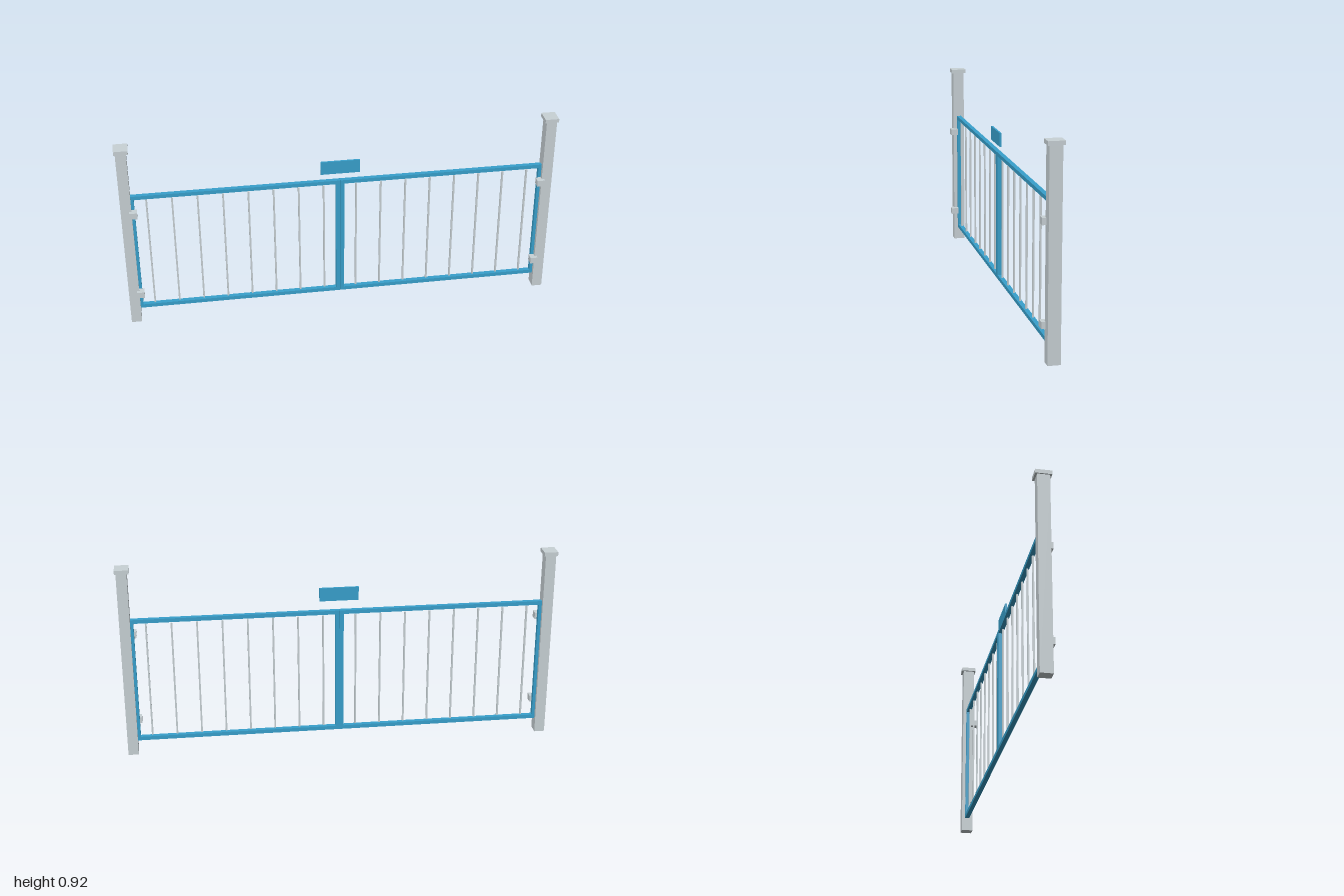
import * as THREE from 'three';

export function createModel() {
  const model = new THREE.Group();
  model.name = 'doubleGate';

  const material = (name, color) => {
    const m = new THREE.MeshStandardMaterial({ color });
    m.name = name;
    return m;
  };
  const steelGrey = material('steel grey', 0xc9d2d6);
  const gateBlue = material('gate blue', 0x38a1cd);

  // Adds a box given its extents along each axis
  function box(parent, name, mat, [x0, x1], [y0, y1], [z0, z1]) {
    const mesh = new THREE.Mesh(new THREE.BoxGeometry(x1 - x0, y1 - y0, z1 - z0), mat);
    mesh.position.set((x0 + x1) / 2, (y0 + y1) / 2, (z0 + z1) / 2);
    mesh.name = name;
    parent.add(mesh);
  }

  const frameZ = [-0.015, 0.006];
  const bottom = 0.065, top = 0.67, rail = 0.018;

  for (const side of [1, -1]) {
    const label = side > 0 ? 'left' : 'right';
    // Mirrors an x range onto this side
    const span = (a, b) => (side > 0 ? [a, b] : [-b, -a]);

    // Post with slab cap
    const post = new THREE.Group();
    post.name = label + 'Post';
    box(post, 'postShaft', steelGrey, span(0.946, 0.994), [0, 0.898], [-0.031, 0.024]);
    box(post, 'postCap', steelGrey, span(0.937, 1), [0.898, 0.916], [-0.04, 0.032]);

    // Hinge blocks
    for (const y of [0.159, 0.588]) {
      box(post, 'hinge', steelGrey, span(0.922, 0.957), [y - 0.015, y + 0.015], [0.006, 0.041]);
    }
    model.add(post);

    // Gate leaf frame
    const leaf = new THREE.Group();
    leaf.name = label + 'Leaf';
    box(leaf, 'bottomRail', gateBlue, span(0.0005, 0.946), [bottom, bottom + rail], frameZ);
    box(leaf, 'topRail', gateBlue, span(0.0005, 0.946), [top - rail, top], frameZ);
    box(leaf, 'hingeStile', gateBlue, span(0.932, 0.946), [bottom + rail, top - rail], frameZ);
    box(leaf, 'meetingStile', gateBlue, span(0.0005, 0.019), [bottom + rail, top - rail], frameZ);

    // Upright bars
    for (let i = 0; i < 8; i++) {
      const x = 0.075 + i * 0.1146;
      box(leaf, 'bar', steelGrey, span(x - 0.004, x + 0.004), [0.087, 0.645], [-0.008, 0]);
    }
    model.add(leaf);
  }

  // Blank plate above the meeting stiles
  box(model, 'signPlate', gateBlue, [-0.09, 0.09], [0.711, 0.774], [0.004, 0.013]);

  return model;
}
